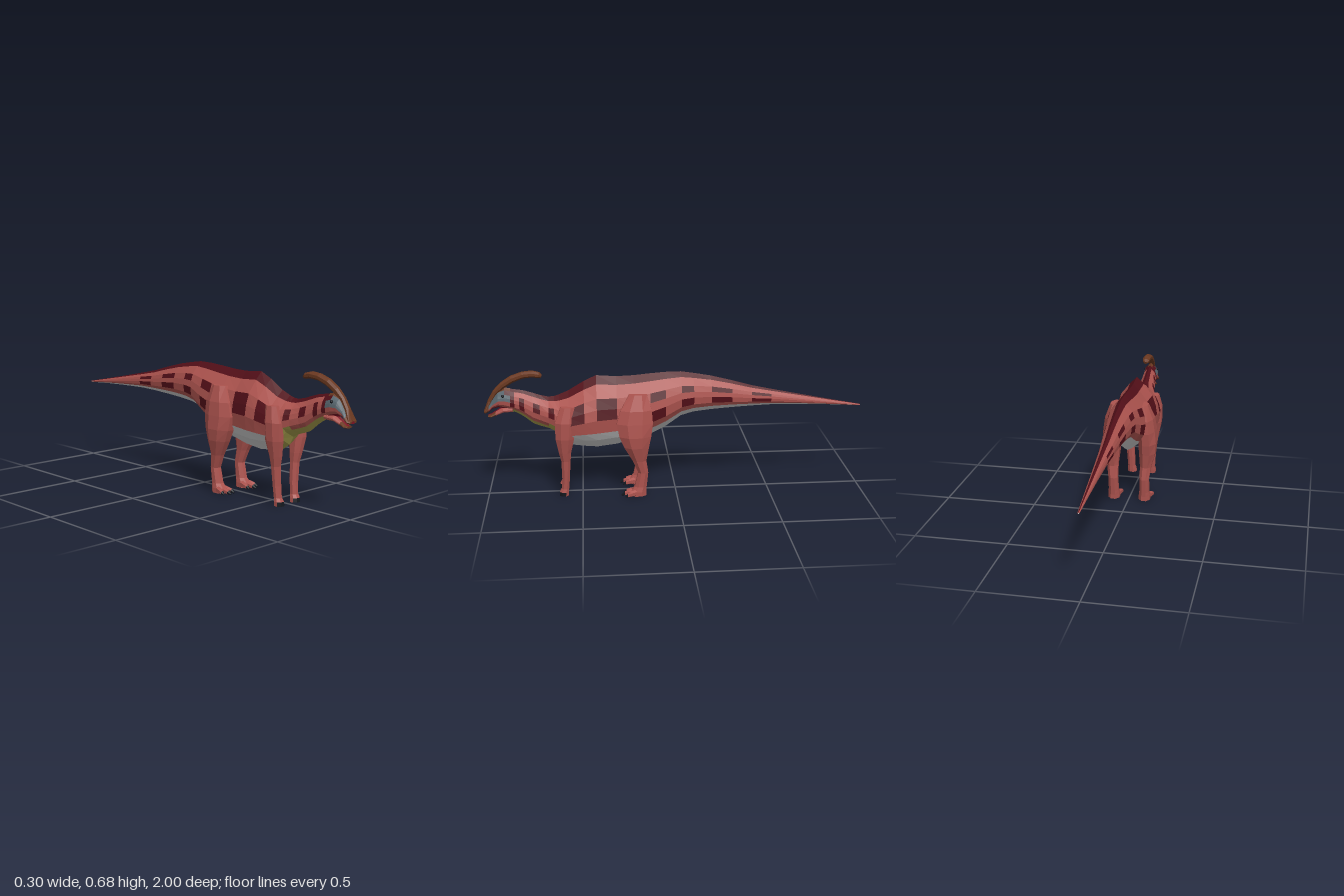
import * as THREE from 'three';

const RED = 0xac534e, DARK = 0x520f18, GREY = 0xcccccc, YELLOW = 0xa39a4a;
const BROWN = 0x6a3820, SLATE = 0x56646c, BLACK = 0x14181e, MOUTH = 0x7a1424;

// Skins a list of closed rings (anticlockwise seen from the last ring); one mesh per colour
function loft(name, rings, colorOf) {
  const group = new THREE.Group();
  group.name = name;
  const buckets = new Map();
  const tri = (color, ...pts) => {
    if (!buckets.has(color)) buckets.set(color, []);
    for (const p of pts) buckets.get(color).push(p.x, p.y, p.z);
  };
  const n = rings[0].length, last = rings.length - 1;
  for (let i = 0; i < last; i++) {
    for (let j = 0; j < n; j++) {
      const k = (j + 1) % n, color = colorOf(i, j);
      const a = rings[i][j], b = rings[i][k], c = rings[i + 1][k], d = rings[i + 1][j];
      tri(color, a, b, c);
      tri(color, a, c, d);
    }
  }
  for (let j = 1; j < n - 1; j++) {
    tri(colorOf(0, j), rings[0][0], rings[0][j + 1], rings[0][j]);
    tri(colorOf(last - 1, j), rings[last][0], rings[last][j], rings[last][j + 1]);
  }
  for (const [color, data] of buckets) {
    const geo = new THREE.BufferGeometry();
    geo.setAttribute('position', new THREE.Float32BufferAttribute(data, 3));
    geo.computeVertexNormals();
    const mesh = new THREE.Mesh(geo, new THREE.MeshStandardMaterial({ color, flatShading: true }));
    mesh.name = name + 'Skin';
    group.add(mesh);
  }
  return group;
}

// Elliptical ring around a centre, facing along the unit direction t (in the yz plane)
function oval(x, y, z, rx, rv, t, n = 8) {
  const u = new THREE.Vector3(1, 0, 0), v = new THREE.Vector3().crossVectors(t, u);
  return Array.from({ length: n }, (_, j) => {
    const a = ((j + 0.5) / n) * Math.PI * 2;
    return new THREE.Vector3(x, y, z).addScaledVector(u, Math.cos(a) * rx).addScaledVector(v, Math.sin(a) * rv);
  });
}

// Mirrored section from top to bottom: height fractions and width fractions of one half
const HEIGHT = [1, 0.9, 0.74, 0.6, 0.46, 0.28, 0.16, 0];
const WIDTH = [0, 0.33, 0.76, 0.92, 1, 0.93, 0.66, 0];
const HALF = HEIGHT.length - 1;
function section([z, w, top, bottom]) {
  return Array.from({ length: HALF * 2 }, (_, j) => {
    const k = j <= HALF ? j : HALF * 2 - j;
    return new THREE.Vector3((j <= HALF ? -1 : 1) * w * WIDTH[k], bottom + (top - bottom) * HEIGHT[k], z);
  });
}
const strip = (j) => (j < HALF ? j : HALF * 2 - 1 - j); // 0 = ridge, 6 = underside

const Y = new THREE.Vector3(0, 1, 0), Z = new THREE.Vector3(0, 0, 1);

// Tail, trunk and neck: z, half width, top, bottom
const BODY = [
  [-1, 0.005, 0.449, 0.441], [-0.85, 0.012, 0.478, 0.45], [-0.7, 0.019, 0.508, 0.456],
  [-0.51, 0.029, 0.547, 0.46], [-0.405, 0.037, 0.57, 0.456], [-0.3, 0.046, 0.6, 0.45],
  [-0.19, 0.056, 0.628, 0.442], [-0.095, 0.068, 0.645, 0.431], [-0.03, 0.077, 0.655, 0.412],
  [0.055, 0.09, 0.654, 0.352], [0.135, 0.102, 0.648, 0.312], [0.22, 0.108, 0.64, 0.285],
  [0.31, 0.104, 0.637, 0.262], [0.415, 0.118, 0.645, 0.249], [0.48, 0.121, 0.615, 0.255],
  [0.56, 0.116, 0.567, 0.266], [0.61, 0.099, 0.546, 0.3], [0.635, 0.085, 0.538, 0.343],
  [0.665, 0.07, 0.535, 0.36], [0.71, 0.054, 0.546, 0.375], [0.745, 0.048, 0.558, 0.388],
  [0.79, 0.042, 0.572, 0.425], [0.815, 0.041, 0.577, 0.443], [0.84, 0.04, 0.58, 0.456],
  [0.865, 0.04, 0.585, 0.463],
];
// Dark patches: segment index -> strips covered
const PATCHES = {
  3: [2, 4], 5: [2, 4], 7: [2, 4], 9: [2, 4], 12: [2, 3], 14: [2, 3],
  17: [2, 3], 19: [2, 3], 21: [2, 3, 4], 23: [1, 2, 3, 4],
};
function bodyColor(i, j) {
  const s = strip(j);
  if (s === 0) return DARK;
  if (PATCHES[i]?.includes(s)) return DARK;
  if (s === 6 || (s === 5 && i >= 11 && i < 15)) {
    return i >= 15 ? YELLOW : GREY;
  }
  if (s === 5 && i >= 15 && i < 18) return YELLOW;
  return RED;
}

// Head down to the broad beak
const HEAD = [
  [0.86, 0.04, 0.585, 0.463], [0.89, 0.042, 0.592, 0.472], [0.925, 0.039, 0.575, 0.484],
  [0.955, 0.031, 0.535, 0.478], [0.975, 0.034, 0.503, 0.462], [0.99, 0.037, 0.482, 0.455],
  [1, 0.026, 0.472, 0.457],
];
function headColor(i, j) {
  const s = strip(j);
  if (s === 6) return MOUTH;
  if (s === 0 || i >= 4) return BROWN;
  if (i <= 3 && s >= 1 && s <= 3) return i === 0 && s === 1 ? DARK : SLATE;
  return RED;
}

// Lower jaw
const JAW = [
  [0.85, 0.034, 0.5, 0.456], [0.9, 0.03, 0.49, 0.454], [0.94, 0.024, 0.466, 0.438],
  [0.965, 0.027, 0.45, 0.431], [0.98, 0.02, 0.445, 0.434],
];

// Crest centre line: z, y, half width, half thickness
const CREST = [
  [0.992, 0.472, 0.03, 0.007], [0.968, 0.52, 0.019, 0.012], [0.94, 0.566, 0.018, 0.014],
  [0.9, 0.603, 0.02, 0.018], [0.85, 0.635, 0.022, 0.019], [0.795, 0.655, 0.023, 0.018],
  [0.745, 0.66, 0.023, 0.018], [0.712, 0.653, 0.02, 0.016], [0.697, 0.646, 0.01, 0.008],
];
function crest() {
  const rings = CREST.map(([z, y, rx, rv], i) => {
    const p = CREST[Math.max(i - 1, 0)], q = CREST[Math.min(i + 1, CREST.length - 1)];
    const t = new THREE.Vector3(0, q[1] - p[1], q[0] - p[0]).normalize();
    return oval(0, y, z, rx, rv, t);
  });
  return loft('crest', rings, () => BROWN);
}

// Legs from the ground up: y, x, z, half width, half depth
const FRONT_LEG = [
  [0, 0.057, 0.6, 0.028, 0.026], [0.022, 0.059, 0.598, 0.027, 0.026], [0.04, 0.06, 0.592, 0.022, 0.021],
  [0.1, 0.062, 0.587, 0.024, 0.022], [0.2, 0.069, 0.584, 0.025, 0.026], [0.25, 0.074, 0.587, 0.031, 0.035],
  [0.33, 0.084, 0.585, 0.037, 0.052], [0.42, 0.089, 0.58, 0.034, 0.058], [0.5, 0.08, 0.565, 0.025, 0.04],
];
const HIND_LEG = [
  [0, 0.087, 0.205, 0.034, 0.045], [0.025, 0.087, 0.203, 0.034, 0.043], [0.05, 0.087, 0.192, 0.029, 0.034],
  [0.13, 0.088, 0.178, 0.028, 0.029], [0.2, 0.093, 0.197, 0.033, 0.039], [0.28, 0.1, 0.212, 0.048, 0.07],
  [0.34, 0.101, 0.218, 0.053, 0.09], [0.41, 0.099, 0.22, 0.048, 0.102], [0.48, 0.095, 0.212, 0.041, 0.088],
  [0.56, 0.075, 0.2, 0.03, 0.05],
];
const leg = (name, side, rows, color) =>
  loft(name, rows.map(([y, x, z, rx, rz]) => oval(side * x, y, z, rx, rz, Y)), color);

// Splayed toe ending in a dark claw
function toe(side, x, spread, length) {
  const rows = [[0, 0.017, 0.019], [0.5, 0.015, 0.015], [0.78, 0.012, 0.011], [1, 0.004, 0.004]];
  const rings = rows.map(([f, rx, ry]) => oval(side * (x + spread * f), ry, 0.215 + length * f, rx, ry, Z, 6));
  return loft('toe', rings, (i) => (i === 2 ? BLACK : RED));
}

export function createModel() {
  const model = new THREE.Group();
  model.name = 'crestedDinosaur';
  model.add(
    loft('body', BODY.map(section), bodyColor),
    loft('head', HEAD.map(section), headColor),
    loft('lowerJaw', JAW.map(section), (i, j) => (strip(j) === 0 ? MOUTH : i >= 2 ? BROWN : strip(j) === 6 ? YELLOW : RED)),
    crest(),
  );
  for (const side of [-1, 1]) {
    // Dark hooves cover the front of each forefoot
    model.add(leg('frontLeg', side, FRONT_LEG, (i, j) => (i === 0 && j >= 4 ? BLACK : RED)));
    const hind = leg('hindLeg', side, HIND_LEG, () => RED);
    hind.add(toe(side, 0.067, -0.012, 0.066), toe(side, 0.088, 0.004, 0.08), toe(side, 0.107, 0.018, 0.06));
    model.add(hind);
    const eye = new THREE.Mesh(
      new THREE.IcosahedronGeometry(0.008, 1),
      new THREE.MeshStandardMaterial({ color: BLACK, flatShading: true }),
    );
    eye.name = 'eye';
    eye.position.set(side * 0.035, 0.553, 0.898);
    model.add(eye);
  }
  return model;
}
